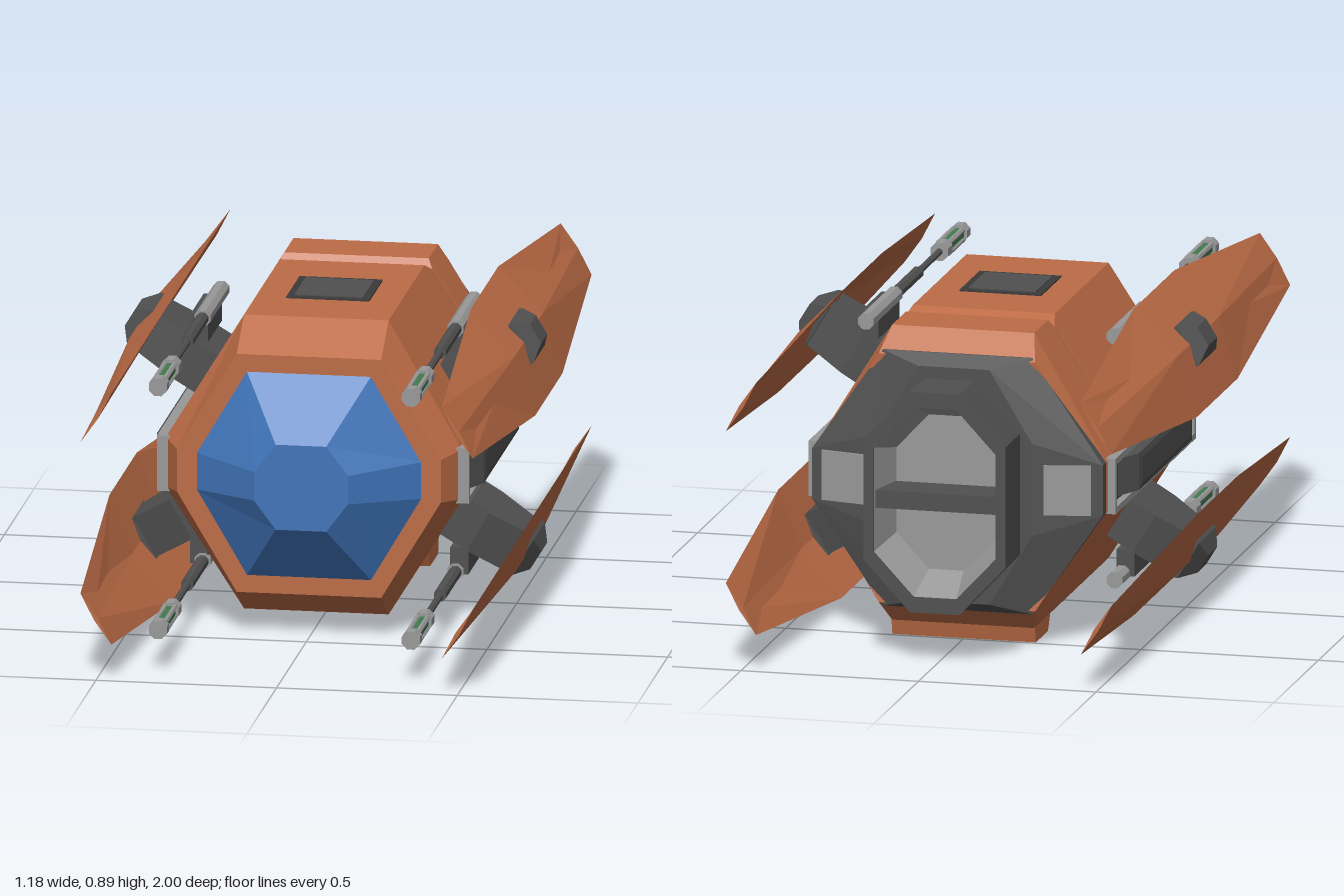
import * as THREE from 'three';

const CY = 0.457; // height of the hull axis
const paint = (color) => new THREE.MeshStandardMaterial({ color, flatShading: true, side: THREE.DoubleSide });

// Closed skin through cross-sections of [x, y, z] points, ordered along +z, counter-clockwise
function loft(sections, caps = true) {
  const pos = [], n = sections[0].length;
  const tri = (a, b, c) => pos.push(...a, ...b, ...c);
  for (let s = 0; s < sections.length - 1; s++) {
    const a = sections[s], b = sections[s + 1];
    for (let i = 0; i < n; i++) {
      const j = (i + 1) % n;
      tri(a[i], a[j], b[j]);
      tri(a[i], b[j], b[i]);
    }
  }
  if (caps) {
    const a = sections[0], b = sections[sections.length - 1];
    for (let i = 1; i < n - 1; i++) {
      tri(a[0], a[i + 1], a[i]);
      tri(b[0], b[i], b[i + 1]);
    }
  }
  const g = new THREE.BufferGeometry();
  g.setAttribute('position', new THREE.Float32BufferAttribute(pos, 3));
  g.computeVertexNormals();
  return g;
}

// Hexagon with clipped side corners: (a, h) top corner, (b, c) side corner
const oct = (a, h, b, c, z, zSide = z, top = h, at = a) => [
  [b, -c, zSide], [b, c, zSide], [at, top, z], [-at, top, z],
  [-b, c, zSide], [-b, -c, zSide], [-a, -h, z], [a, -h, z]];
const rect = (w, h, z, y = 0) => [[w, y - h, z], [w, y + h, z], [-w, y + h, z], [-w, y - h, z]];
const box = (w, h, d, x, y, z) => new THREE.BoxGeometry(w, h, d).translate(x, y, z);
const rod = (r, z0, z1, x, y, sides = 8) =>
  new THREE.CylinderGeometry(r, r, z1 - z0, sides).rotateX(Math.PI / 2).rotateZ(Math.PI / 8).translate(x, y, (z0 + z1) / 2);

// Copy of a geometry reflected in x and/or y, with its faces kept outward
function mirrored(geo, sx, sy) {
  const g = geo.index ? geo.toNonIndexed() : geo.clone();
  g.scale(sx, sy, 1);
  if (sx * sy < 0) {
    const p = g.attributes.position, u = new THREE.Vector3(), v = new THREE.Vector3();
    for (let i = 0; i < p.count; i += 3) {
      u.fromBufferAttribute(p, i + 1);
      v.fromBufferAttribute(p, i + 2);
      p.setXYZ(i + 1, v.x, v.y, v.z);
      p.setXYZ(i + 2, u.x, u.y, u.z);
    }
  }
  g.computeVertexNormals();
  return g;
}

export function createModel() {
  const model = new THREE.Group();
  model.name = 'spacecraft';
  model.position.y = CY;
  const root = new THREE.Group();
  root.add(model);
  const orange = paint(0xbd6c46), blue = paint(0x3f74b9), dark = paint(0x505050);
  const grey = paint(0x999999), green = paint(0x3f7a4c);
  const add = (name, geo, mat, parent = model) => {
    const m = new THREE.Mesh(geo, mat);
    m.name = name;
    parent.add(m);
  };

  // Hull with a groove across the top near the rear
  const full = (z, zSide = z, top = 0.415, at = 0.2) => oct(0.2, 0.415, 0.41, 0.07, z, zSide, top, at);
  add('hull', loft([
    oct(0.22, 0.35, 0.4, 0.07, -0.57, -0.54),
    full(-0.5, -0.525), full(-0.345), full(-0.325, -0.325, 0.39, 0.213), full(-0.27), full(0.33, 0.37),
    oct(0.2, 0.336, 0.365, 0.06, 0.455)]), orange);

  // Cockpit canopy
  add('canopy', loft([oct(0.175, 0.293, 0.317, 0.052, 0.45), oct(0.07, 0.12, 0.13, 0.04, 0.59)]), blue);

  // Roof hatch
  add('hatchFrame', box(0.23, 0.01, 0.225, 0, 0.414, 0.027), paint(0x3a3a3a));
  add('hatch', box(0.19, 0.01, 0.185, 0, 0.417, 0.027), dark);

  // Skid under the rear
  const skid = new THREE.Shape([[0.32, 0.06], [0.355, 0], [0.49, 0], [0.505, 0.06]].map((p) => new THREE.Vector2(...p)));
  add('skid', new THREE.ExtrudeGeometry(skid, { depth: 0.404, bevelEnabled: false })
    .rotateY(Math.PI / 2).translate(-0.202, -CY, 0), orange);

  // Rear bulkhead and engine neck
  add('rearBulkhead', loft([
    oct(0.1, 0.33, 0.22, 0.13, -0.605), oct(0.21, 0.36, 0.41, 0.07, -0.565), oct(0.21, 0.36, 0.41, 0.07, -0.53)]), dark);
  const ring = (k, z) => oct(0.07 * k, 0.31 * k, 0.2 * k, 0.17 * k, z);
  add('engineNeck', loft([ring(0.8, -0.68), ring(0.8, -0.59)]), dark);

  // Hollow engine bell with a light liner and a cross bar
  const flat = (k) => ring(k, 0).map(([x, y]) => new THREE.Vector2(x, y));
  const bell = new THREE.Shape(flat(1));
  bell.holes.push(new THREE.Path(flat(0.86)));
  add('engineBell', new THREE.ExtrudeGeometry(bell, { depth: 0.16, bevelEnabled: false }).translate(0, 0, -0.82), dark);
  add('engineLiner', loft([ring(0.86, -0.815), ring(0.7, -0.69)], false), grey);
  add('engineFloor', new THREE.ShapeGeometry(new THREE.Shape(flat(0.86))).translate(0, 0, -0.685), grey);
  add('engineBar', box(0.345, 0.05, 0.115, 0, 0, -0.75), dark);

  // Framed side pods and rear panels
  const frame = new THREE.Shape(rect(0.45, 0.078, 0).map(([x, y]) => new THREE.Vector2(x, y)));
  frame.holes.push(new THREE.Path(rect(0.435, 0.06, 0).map(([x, y]) => new THREE.Vector2(x, y))));
  const frameGeo = new THREE.ExtrudeGeometry(frame, { depth: 0.04, bevelEnabled: false })
    .rotateY(Math.PI / 2).translate(0.392, 0, -0.063);
  const podGeo = loft([rect(0.4, 0.052, 0.4), rect(0.295, 0.052, 0.452), rect(0.27, 0.035, 0.456)])
    .rotateY(Math.PI / 2).translate(0, 0, -0.035);
  const panelGeo = new THREE.BoxGeometry(0.13, 0.14, 0.01).rotateY(-0.207).translate(0.315, 0, -0.586);
  for (const sx of [1, -1]) {
    const side = new THREE.Group();
    side.name = sx > 0 ? 'leftSide' : 'rightSide';
    model.add(side);
    add('sideFrame', mirrored(frameGeo, sx, 1), grey, side);
    add('sideFloor', mirrored(box(0.02, 0.13, 0.88, 0.403, 0, -0.063), sx, 1), dark, side);
    add('sidePod', mirrored(podGeo, sx, 1), dark, side);
    add('rearPanel', mirrored(panelGeo, sx, 1), grey, side);
  }

  // Wing blade: thin section with a shallow outward ridge, tapering to both tips
  const N = [0.855, 0.52];
  const blade = (k, bulge, z) => {
    const at = (t, n) => [0.5 + 0.089 * t + N[0] * n, 0.284 - 0.147 * t + N[1] * n, z];
    return [at(-k, 0), at(0, bulge - 0.006), at(k, 0), at(0, bulge + 0.006)];
  };
  const wingGeo = loft([blade(0.48, 0, -1), blade(1, 0.035, -0.23), blade(1, 0.035, 0.23), blade(0.48, 0, 1)]);

  // Strut and knob run outward along the diagonal
  const radial = new THREE.Matrix4().makeBasis(
    new THREE.Vector3(0, 0, -1), new THREE.Vector3(-N[1], N[0], 0), new THREE.Vector3(N[0], N[1], 0));
  const strutGeo = loft([rect(0.115, 0.063, 0.35, -0.018), rect(0.115, 0.063, 0.47, -0.018), rect(0.08, 0.063, 0.59, -0.018)])
    .applyMatrix4(radial);
  const knobGeo = loft([rect(0.095, 0.065, 0.59, -0.018), rect(0.095, 0.06, 0.61, -0.018), rect(0.05, 0.03, 0.645, -0.018)])
    .applyMatrix4(radial);

  // Four wings, each with its strut and gun
  const GX = 0.35, GY = 0.343;
  for (const sx of [1, -1]) for (const sy of [1, -1]) {
    const wing = new THREE.Group();
    wing.name = (sy > 0 ? 'upper' : 'lower') + (sx > 0 ? 'Left' : 'Right') + 'Wing';
    model.add(wing);
    const part = (name, geo, mat) => add(name, mirrored(geo, sx, sy), mat, wing);
    part('wingBlade', wingGeo, orange);
    part('strut', strutGeo, dark);
    part('knob', knobGeo, dark);
    part('gunMount', box(0.05, 0.075, 0.23, GX + 0.01, GY - 0.03, 0), dark);
    part('gunBreech', rod(0.024, -0.2, 0.12, GX, GY), grey);
    part('gunSleeve', rod(0.018, 0.12, 0.38, GX, GY), dark);
    part('gunBarrel', rod(0.01, 0.38, 0.63, GX, GY), dark);
    part('gunCore', rod(0.018, 0.63, 0.85, GX, GY), green);
    part('muzzleBack', rod(0.027, 0.62, 0.67, GX, GY), grey);
    part('muzzleFront', rod(0.027, 0.83, 0.87, GX, GY), grey);
    for (let i = 0; i < 4; i++) {
      const a = Math.PI / 4 + i * Math.PI / 2;
      part('muzzleRail', rod(0.008, 0.66, 0.84, GX + 0.019 * Math.cos(a), GY + 0.019 * Math.sin(a), 6), grey);
    }
  }
  return root;
}
